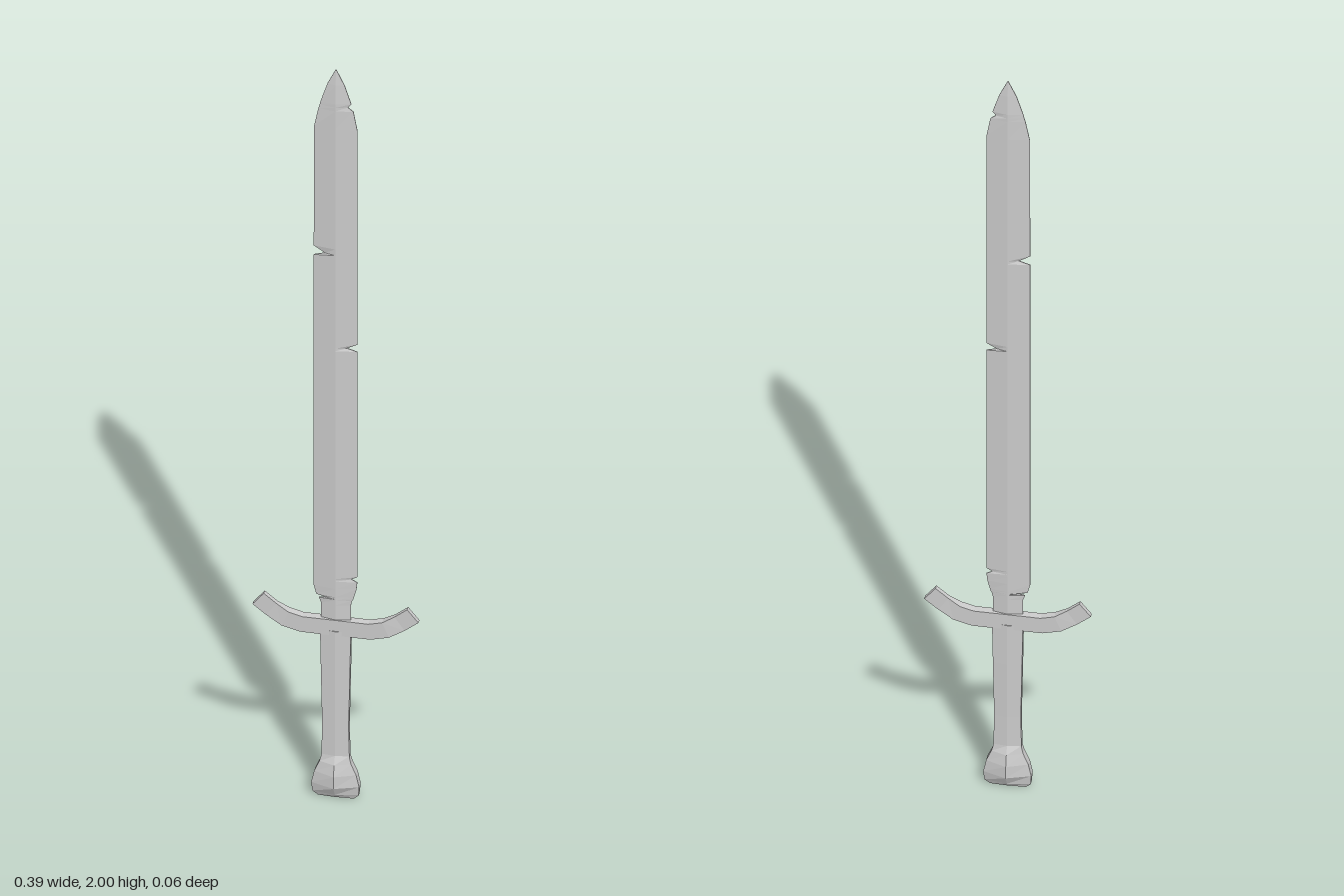
import * as THREE from 'three';

const material = new THREE.MeshStandardMaterial({ color: 0xcccccc, flatShading: true });

// Skin a list of equal-length point rings, with a cap at each end
function loft(name, rings) {
  const pos = [], n = rings[0].length;
  const tri = (...pts) => pts.forEach((p) => pos.push(...p));
  for (let i = 0; i < rings.length - 1; i++) {
    for (let j = 0; j < n; j++) {
      const k = (j + 1) % n, lo = rings[i], hi = rings[i + 1];
      tri(lo[j], lo[k], hi[k]);
      tri(lo[j], hi[k], hi[j]);
    }
  }
  const first = rings[0], last = rings[rings.length - 1];
  for (let j = 1; j < n - 1; j++) {
    tri(first[0], first[j + 1], first[j]);
    tri(last[0], last[j], last[j + 1]);
  }
  const geometry = new THREE.BufferGeometry();
  geometry.setAttribute('position', new THREE.Float32BufferAttribute(pos, 3));
  geometry.computeVertexNormals();
  const mesh = new THREE.Mesh(geometry, material);
  mesh.name = name;
  return mesh;
}

// Ridged six-point section: ridge depth d in the middle, depth e at the sides
const section = (y, left, right, d, e) => [
  [0, y, d], [right, y, e], [right, y, -e], [0, y, -d], [-left, y, -e], [-left, y, e],
];

export function createModel() {
  const sword = new THREE.Group();
  sword.name = 'sword';

  // Blade: y, left half width, right half width; the dips are battle nicks
  const blade = [
    [0.47, 0.035, 0.035], [0.53, 0.035, 0.035], [0.543, 0.04, 0.038],
    [0.546, 0.026, 0.04], [0.552, 0.046, 0.042], [0.575, 0.052, 0.048],
    [0.595, 0.052, 0.05], [0.602, 0.052, 0.036], [0.61, 0.052, 0.05],
    [1.23, 0.052, 0.05], [1.237, 0.052, 0.026], [1.25, 0.052, 0.05],
    [1.485, 0.052, 0.05], [1.493, 0.026, 0.05], [1.51, 0.052, 0.05],
    [1.84, 0.051, 0.05], [1.89, 0.041, 0.041], [1.9, 0.038, 0.028],
    [1.91, 0.036, 0.036], [1.96, 0.02, 0.02], [2, 0.001, 0.001],
  ];
  sword.add(loft('blade', blade.map(([y, l, r]) =>
    section(y, l, r, y > 1.99 ? 0.001 : y > 1.95 ? 0.005 : 0.008, 0.001))));

  // Crossguard: x, y, half depth of one arm, mirrored to the other side
  const arm = [[0.04, 0.469, 0.01], [0.08, 0.469, 0.01], [0.118, 0.479, 0.01],
    [0.15, 0.498, 0.006], [0.181, 0.523, 0.006]];
  const path = [...arm.map(([x, y, d]) => [-x, y, d]).reverse(), ...arm];
  sword.add(loft('crossguard', path.map(([x, y, d], i) => {
    const a = path[Math.max(i - 1, 0)], b = path[Math.min(i + 1, path.length - 1)];
    const len = Math.hypot(b[0] - a[0], b[1] - a[1]);
    const nx = -(b[1] - a[1]) / len * 0.021, ny = (b[0] - a[0]) / len * 0.021;
    return [[x + nx, y + ny, -d], [x + nx, y + ny, d], [x - nx, y - ny, d], [x - nx, y - ny, -d]];
  })));

  // Grip
  const grip = [[0.1, 0.033], [0.2, 0.031], [0.35, 0.034], [0.46, 0.036]];
  sword.add(loft('grip', grip.map(([y, w]) => section(y, w, w, 0.012, 0.007))));

  // Pommel: y, half width, ridge depth, side depth
  const pommel = [[0, 0.042, 0.004, 0.002], [0.012, 0.054, 0.014, 0.006],
    [0.038, 0.056, 0.029, 0.01], [0.07, 0.049, 0.029, 0.01],
    [0.098, 0.037, 0.022, 0.009], [0.118, 0.032, 0.012, 0.007]];
  sword.add(loft('pommel', pommel.map(([y, w, d, e]) => section(y, w, w, d, e))));

  return sword;
}
